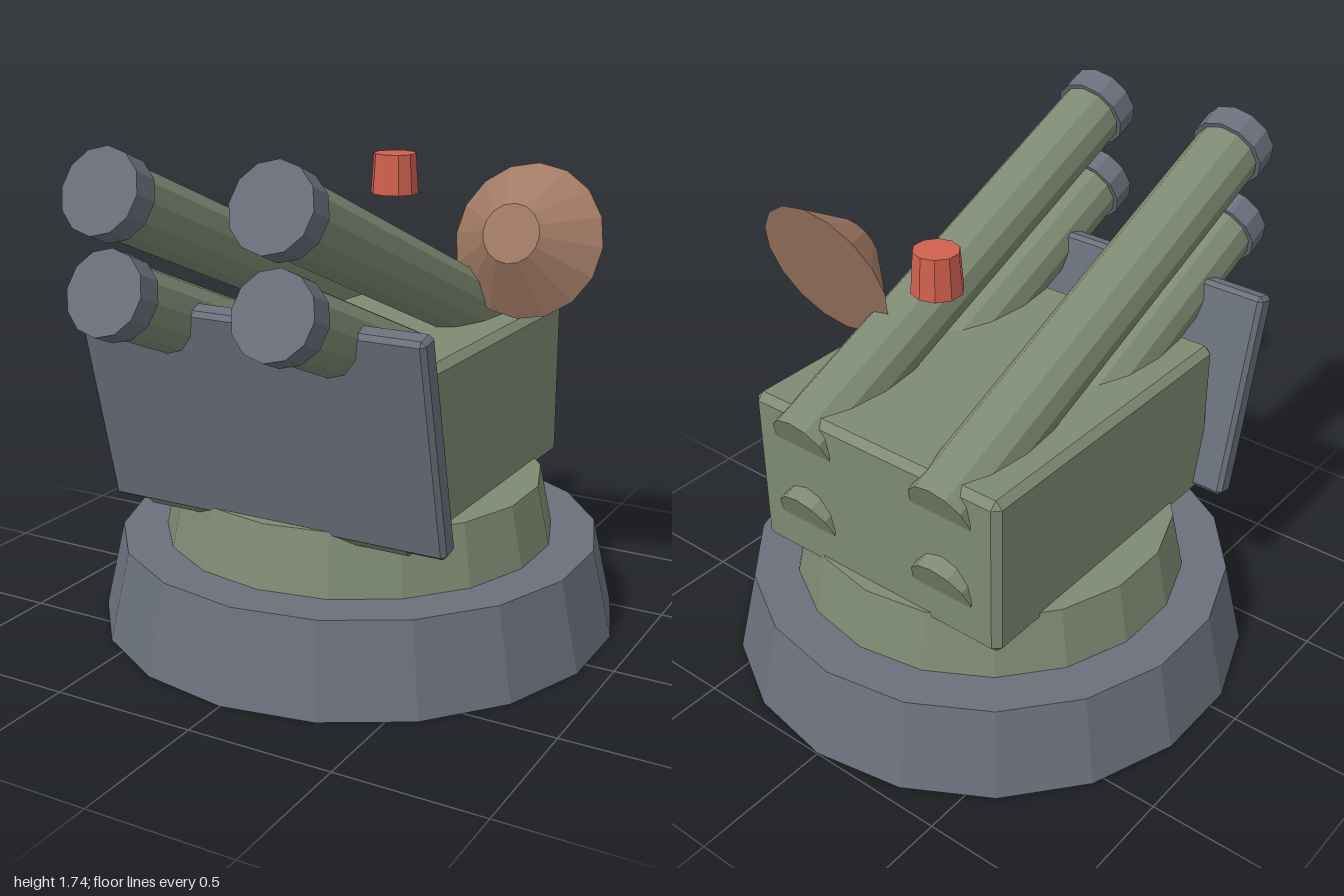
import * as THREE from 'three';
import { ConvexGeometry } from 'three/addons/geometries/ConvexGeometry.js';

const paint = (name, color) => {
  const m = new THREE.MeshStandardMaterial({ color, flatShading: true });
  m.name = name;
  return m;
};

// Box with a single flat chamfer on every edge
function chamferBox(w, h, d, c) {
  const pts = [];
  for (const sx of [-0.5, 0.5]) for (const sy of [-0.5, 0.5]) for (const sz of [-0.5, 0.5]) {
    const corner = new THREE.Vector3(w * sx, h * sy, d * sz);
    for (const full of ['x', 'y', 'z']) {
      const p = corner.clone();
      for (const a of ['x', 'y', 'z']) if (a !== full) p[a] -= Math.sign(p[a]) * c;
      pts.push(p);
    }
  }
  return new ConvexGeometry(pts);
}

export function createModel() {
  const model = new THREE.Group();
  model.name = 'missileLauncher';

  const steel = paint('steel grey', 0x6a707b);
  const olive = paint('olive green', 0x7e8a73);
  const copper = paint('copper brown', 0xa27a64);
  const red = paint('signal red', 0xd0604f);

  function add(parent, name, geometry, material, x, y, z, tilt = 0) {
    const mesh = new THREE.Mesh(geometry, material);
    mesh.name = name;
    mesh.position.set(x, y, z);
    mesh.rotation.x = tilt;
    parent.add(mesh);
    return mesh;
  }

  // Tapered base and turning ring
  const midZ = -0.084;
  add(model, 'base', new THREE.CylinderGeometry(0.843, 0.914, 0.31, 18), steel, 0, 0.155, midZ);
  add(model, 'turretRing', new THREE.CylinderGeometry(0.643, 0.687, 0.21, 18), olive, 0, 0.415, midZ);

  // Launcher body and sloping front shield
  add(model, 'body', chamferBox(1.02, 0.58, 1.19, 0.025), olive, 0, 0.77, midZ);
  add(model, 'shield', chamferBox(1.245, 0.745, 0.08, 0.015), steel, 0, 0.865, 0.559, 0.23);

  // Four launch tubes, each with a muzzle cap; local +y runs along the tube
  const elevation = THREE.MathUtils.degToRad(22.5);
  const tubeGeo = new THREE.CylinderGeometry(0.119, 0.119, 1.7, 12);
  const capGeo = new THREE.CylinderGeometry(0.135, 0.135, 0.09, 12);
  for (const x of [-0.29, 0.29]) for (const y of [1.32, 1.62]) {
    const launchTube = new THREE.Group();
    launchTube.name = 'launchTube';
    launchTube.position.set(x, y, 0.95);
    launchTube.rotation.x = Math.PI / 2 - elevation;
    add(launchTube, 'tube', tubeGeo, olive, 0, -0.92, 0);
    add(launchTube, 'muzzleCap', capGeo, steel, 0, -0.045, 0);
    model.add(launchTube);
  }

  // Radar dish, narrow end forward and slightly up
  add(model, 'radarDish', new THREE.CylinderGeometry(0.1, 0.265, 0.155, 16), copper,
    0.525, 1.367, -0.223, Math.PI / 2 - 0.315);

  // Warning light
  add(model, 'warningLight', new THREE.CylinderGeometry(0.075, 0.085, 0.14, 10), red, 0, 1.53, -0.335);

  return model;
}
